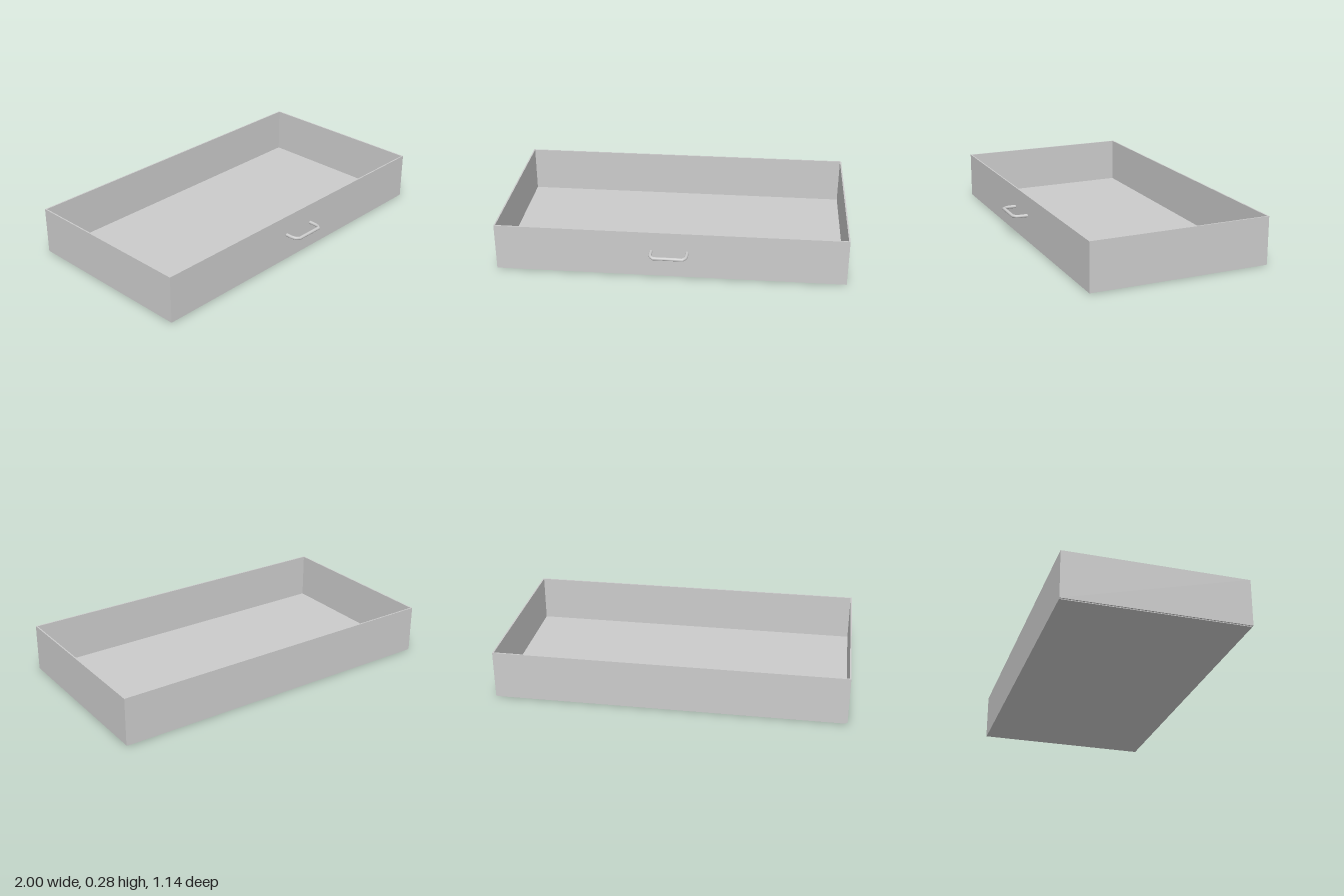
import * as THREE from 'three';

const material = new THREE.MeshStandardMaterial({ color: 0xcccccc });

// Box given by its limits on each axis
function panel(name, [x0, x1], [y0, y1], [z0, z1]) {
  const mesh = new THREE.Mesh(new THREE.BoxGeometry(x1 - x0, y1 - y0, z1 - z0), material);
  mesh.position.set((x0 + x1) / 2, (y0 + y1) / 2, (z0 + z1) / 2);
  mesh.name = name;
  return mesh;
}

// Round bar with mitred corners along points [x, z] in a level plane
function bar(points, radius) {
  const path = points.map(([x, z]) => new THREE.Vector2(x, z));
  const last = path.length - 1;
  const rings = path.map((p, i) => {
    const a = path[i].clone().sub(path[Math.max(i - 1, 0)]).normalize();
    const b = path[Math.min(i + 1, last)].clone().sub(path[i]).normalize();
    const t = a.add(b).normalize();
    const cos = i === 0 ? 1 : Math.abs(t.dot(path[i].clone().sub(path[i - 1]).normalize()));
    return { p, side: new THREE.Vector2(-t.y, t.x).divideScalar(cos) };
  });
  const geometry = new THREE.CylinderGeometry(radius, radius, last, 16, last);
  const pos = geometry.attributes.position;
  for (let i = 0; i < pos.count; i++) {
    const { p, side } = rings[Math.round(pos.getY(i) + last / 2)];
    const across = pos.getX(i);
    pos.setXYZ(i, p.x + side.x * across, pos.getZ(i), p.y + side.y * across);
  }
  geometry.computeVertexNormals();
  return geometry;
}

export function createModel() {
  const model = new THREE.Group();
  model.name = 'drawer';

  const t = 0.008, height = 0.28, back = -0.57, front = 0.482;

  // Tray: floor and four thin walls
  model.add(
    panel('floor', [-1 + t, 1 - t], [0, t], [back, front - t]),
    panel('frontPanel', [-1, 1], [t / 2, height], [front - t, front]),
    panel('backPanel', [-1 + t, 1 - t], [t, height], [back, back + t]),
    panel('leftPanel', [1 - t, 1], [t / 2, height], [back, front - t]),
    panel('rightPanel', [-1, -1 + t], [t / 2, height], [back, front - t]),
  );

  // Pull handle with bevelled corners
  const half = [[0.102, front - t / 2], [0.102, 0.523], [0.096, 0.546], [0.081, 0.561]];
  const points = [...half.map(([x, z]) => [-x, z]), ...half.slice().reverse()];
  const handle = new THREE.Mesh(bar(points, 0.0095), material);
  handle.name = 'handle';
  handle.position.set(-0.003, 0.161, 0);
  model.add(handle);

  return model;
}
